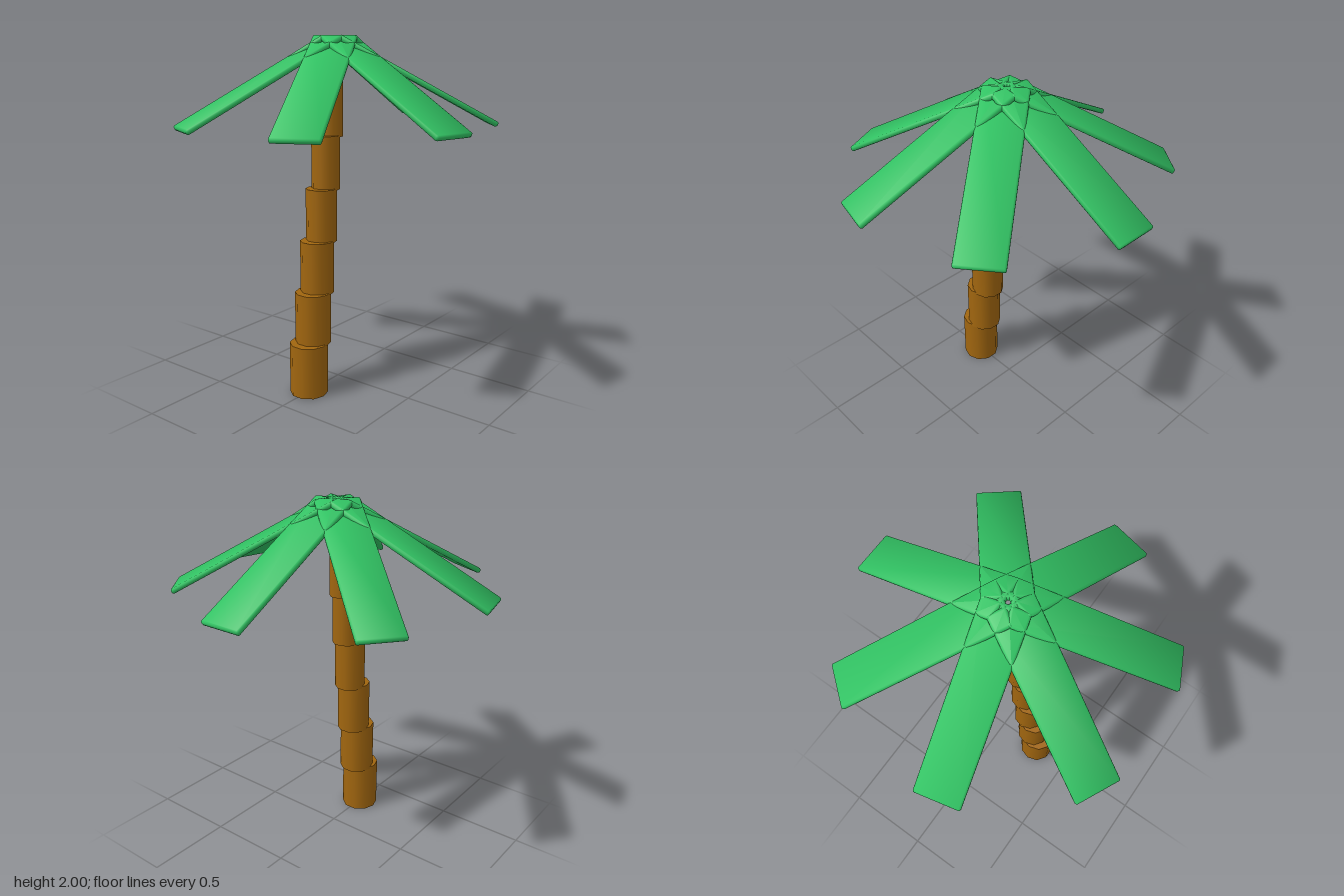
import * as THREE from 'three';

const leafGreen = new THREE.MeshStandardMaterial({ color: 0x32c464 });
leafGreen.name = 'leaf green';
const barkBrown = new THREE.MeshStandardMaterial({ color: 0xa1660f });
barkBrown.name = 'bark brown';

// Thin slab with bevelled edges and soft, pillow-like normals
function softSlab(length, thickness, width, bevel) {
  const half = [length / 2, thickness / 2, width / 2];
  const geo = new THREE.BoxGeometry(length, thickness, width, 3, 3, 3);
  const pos = geo.attributes.position, nor = geo.attributes.normal;
  for (let i = 0; i < pos.count; i++) {
    const p = [pos.getX(i), pos.getY(i), pos.getZ(i)];
    const outer = p.map((v, k) => Math.abs(v) > half[k] * 0.9);
    const pull = [0, 0, 0.3, 0.42][outer.filter(Boolean).length];
    const q = p.map((v, k) => Math.sign(v) * (half[k] - bevel * (outer[k] ? pull : 1)));
    const n = q.map((v, k) => Math.sign(v) * (Math.abs(v) - Math.max(0, half[k] - 1.6 * bevel)));
    pos.setXYZ(i, ...q);
    const normal = new THREE.Vector3(...n).normalize();
    nor.setXYZ(i, normal.x, normal.y, normal.z);
  }
  return geo;
}

export function createModel() {
  const palm = new THREE.Group();
  palm.name = 'palmTree';

  // Trunk: stacked ten-sided drums, each narrower and shifted toward the crown
  const trunk = new THREE.Group();
  trunk.name = 'trunk';
  const radii = [0.108, 0.101, 0.095, 0.087, 0.079, 0.071];
  radii.forEach((r, i) => {
    const drum = new THREE.Mesh(new THREE.CylinderGeometry(r, r, 0.3, 10), barkBrown);
    drum.name = 'trunkSegment' + (i + 1);
    drum.position.set(-0.272 + i * 0.0397, 0.15 + i * 0.2905, 0);
    trunk.add(drum);
  });
  palm.add(trunk);

  // Crown: seven drooping leaves around the top
  const crown = new THREE.Group();
  crown.name = 'crown';
  crown.position.set(-0.02, 1.755, 0);
  const leafGeo = softSlab(0.985, 0.03, 0.247, 0.01);
  for (let i = 0; i < 7; i++) {
    const arm = new THREE.Group();
    arm.name = 'leafArm' + (i + 1);
    arm.rotation.y = (i / 7) * Math.PI * 2;
    const leaf = new THREE.Mesh(leafGeo, leafGreen);
    leaf.name = 'leaf' + (i + 1);
    leaf.position.x = 0.447;
    leaf.rotation.z = -THREE.MathUtils.degToRad(28.4);
    arm.add(leaf);
    crown.add(arm);
  }
  palm.add(crown);

  return palm;
}
